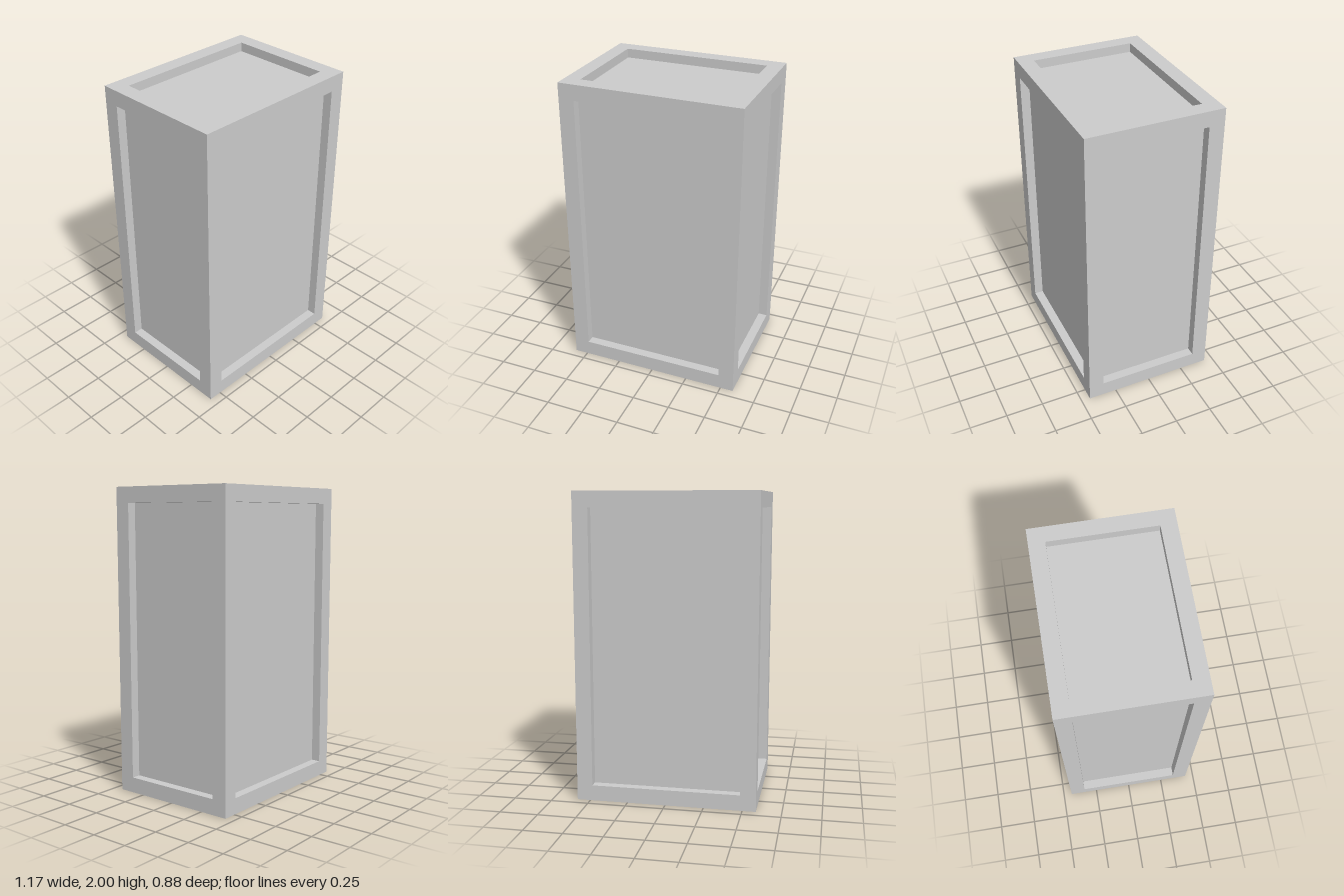
import * as THREE from 'three';

const W = 1.174, H = 2, D = 0.882; // overall size
const BORDER = 0.102, DEPTH = 0.06; // frame width and panel recess

// One side of the case, facing +z: flat frame, recess walls and sunken panel.
function recessedFace(w, h, offset) {
  const ring = (inset, z) => {
    const x = w / 2 - inset, y = h / 2 - inset;
    return [[-x, -y, z], [x, -y, z], [x, y, z], [-x, y, z]];
  };
  const rings = [ring(0, offset), ring(BORDER, offset), ring(BORDER, offset - DEPTH)];
  const positions = [];
  const quad = (a, b, c, d) => positions.push(...a, ...b, ...c, ...a, ...c, ...d);

  for (let r = 0; r < 2; r++) {
    for (let i = 0; i < 4; i++) {
      const j = (i + 1) % 4;
      quad(rings[r][i], rings[r][j], rings[r + 1][j], rings[r + 1][i]);
    }
  }
  quad(...rings[2]);

  const geometry = new THREE.BufferGeometry();
  geometry.setAttribute('position', new THREE.Float32BufferAttribute(positions, 3));
  geometry.computeVertexNormals();
  return geometry;
}

export function createModel() {
  const model = new THREE.Group();
  model.name = 'panelledCase';
  const material = new THREE.MeshStandardMaterial({ color: 0xcccccc, flatShading: true });
  const q = Math.PI / 2;

  // name, width, height, distance from centre, turn about x, turn about y
  const sides = [
    ['frontPanel', W, H, D / 2, 0, 0],
    ['backPanel', W, H, D / 2, 0, Math.PI],
    ['leftPanel', D, H, W / 2, 0, q],
    ['rightPanel', D, H, W / 2, 0, -q],
    ['topPanel', W, D, H / 2, -q, 0],
    ['bottomPanel', W, D, H / 2, q, 0],
  ];
  for (const [name, w, h, offset, rx, ry] of sides) {
    const panel = new THREE.Mesh(recessedFace(w, h, offset), material);
    panel.name = name;
    panel.rotation.set(rx, ry, 0);
    panel.position.y = H / 2;
    model.add(panel);
  }
  return model;
}
